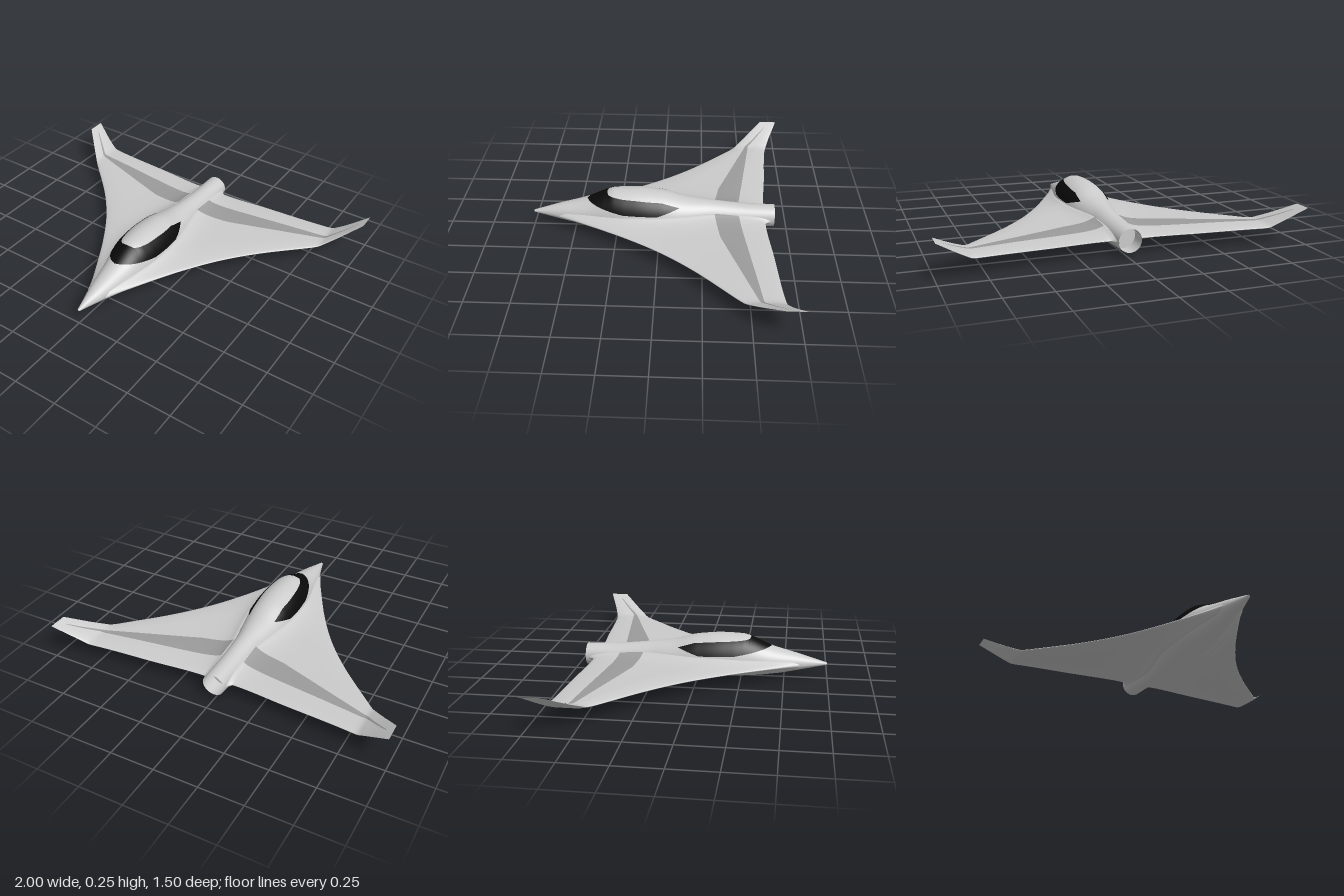
import * as THREE from 'three';

const grey = new THREE.MeshStandardMaterial({ color: 0xcccccc, side: THREE.DoubleSide });
const panelGrey = new THREE.MeshStandardMaterial({ color: 0x9c9c9c, side: THREE.DoubleSide });
const black = new THREE.MeshStandardMaterial({ color: 0x0a0a0a, side: THREE.DoubleSide });

// Interpolation through [t, value] points, t ascending: straight or smooth without overshoot
function curve(points, smooth = true) {
  const n = points.length;
  const slope = (i) => (points[i + 1][1] - points[i][1]) / (points[i + 1][0] - points[i][0]);
  const tangent = (i) => {
    if (i === 0) return slope(0);
    if (i === n - 1) return slope(n - 2);
    const a = slope(i - 1), b = slope(i);
    return a * b <= 0 ? 0 : (2 * a * b) / (a + b);
  };
  return (t) => {
    let i = 0;
    while (i < n - 2 && t > points[i + 1][0]) i++;
    const [t0, a] = points[i], [t1, b] = points[i + 1];
    const d = t1 - t0, s = THREE.MathUtils.clamp((t - t0) / d, 0, 1);
    if (!smooth) return a + (b - a) * s;
    const s2 = s * s, s3 = s2 * s;
    return a * (2 * s3 - 3 * s2 + 1) + b * (3 * s2 - 2 * s3)
      + d * (tangent(i) * (s3 - 2 * s2 + s) + tangent(i + 1) * (s3 - s2));
  };
}

// Surface over a u, v grid; flip turns the faces round
function surface(name, material, fn, nu, nv, flip = false) {
  const pos = [], index = [];
  for (let j = 0; j <= nv; j++) for (let i = 0; i <= nu; i++) pos.push(...fn(i / nu, j / nv));
  for (let j = 0; j < nv; j++) for (let i = 0; i < nu; i++) {
    const a = j * (nu + 1) + i, b = a + 1, c = a + nu + 1, d = c + 1;
    if (flip) index.push(a, c, b, b, c, d);
    else index.push(a, b, c, b, d, c);
  }
  const g = new THREE.BufferGeometry();
  g.setAttribute('position', new THREE.Float32BufferAttribute(pos, 3));
  g.setIndex(index);
  g.computeVertexNormals();
  const mesh = new THREE.Mesh(g, material);
  mesh.name = name;
  return mesh;
}

// Fuselage profiles along z
const TAIL = -0.67, NOSE = 0.745;
const bodyTop = curve([[TAIL, 0.16], [-0.5, 0.166], [-0.3, 0.185], [-0.15, 0.205], [0, 0.242],
  [0.15, 0.255], [0.26, 0.252], [0.32, 0.233], [0.41, 0.193], [0.6, 0.14], [NOSE, 0.097]]);
const bodyBottom = curve([[TAIL, 0.033], [-0.4, 0.02], [-0.2, 0.01], [0.02, 0], [0.1, 0.002],
  [0.3, 0.01], [0.45, 0.025], [0.6, 0.054], [NOSE, 0.083]]);
const bodyWidth = curve([[TAIL, 0.064], [-0.45, 0.07], [-0.3, 0.08], [-0.2, 0.1], [-0.1, 0.12],
  [0, 0.135], [0.1, 0.14], [0.2, 0.136], [0.3, 0.12], [0.45, 0.086], [0.6, 0.05], [0.68, 0.026], [NOSE, 0.008]]);
const bodyMid = curve([[TAIL, 0.096], [-0.3, 0.092], [NOSE, 0.09]]);

function bodyPoint(z, angle, grow = 1) {
  const m = bodyMid(z), s = Math.sin(angle);
  const h = s > 0 ? bodyTop(z) - m : m - bodyBottom(z);
  return [bodyWidth(z) * Math.cos(angle) * grow, m + h * s * grow, z];
}

// Wing outline, dihedral and thickness along x
const ROOT = 0.06;
const leading = curve([[ROOT, 0.59], [0.09, 0.52], [0.13, 0.44], [0.27, 0.18], [0.4, -0.02],
  [0.55, -0.2], [0.8, -0.445], [1, -0.645]]);
const trailing = curve([[ROOT, -0.668], [0.068, -0.64], [0.09, -0.617], [0.4, -0.64],
  [0.79, -0.671], [0.85, -0.687], [1, -0.75]]);
const wingMid = curve([[ROOT, 0.09], [0.78, 0.091], [0.81, 0.093], [0.85, 0.112], [1, 0.206]]);
const wingHalf = curve([[ROOT, 0.022], [0.3, 0.018], [0.8, 0.012], [0.9, 0.006], [1, 0]]);

function wingPoint(x, z, side) {
  const le = leading(x), c = THREE.MathUtils.clamp((le - z) / (le - trailing(x)), 0, 1);
  const section = Math.min(1, 2.2 * Math.sqrt(c * (1 - c)));
  // fillet that swells the wing into the fuselage
  const fillet = 0.028 * Math.exp(-Math.max(0, x - bodyWidth(z)) / 0.05);
  return [x, wingMid(x) + side * section * (wingHalf(x) + fillet), z];
}

// Windscreen band edges and wing panel edges
const glassLow = curve([[-0.115, 0.18], [0.01, 0.145], [0.21, 0.15], [0.315, 0.168], [0.425, 0.19]], false);
const glassHigh = curve([[-0.115, 0.18], [-0.015, 0.21], [0.125, 0.222], [0.22, 0.226],
  [0.3, 0.233], [0.303, 0.3], [0.425, 0.3]], false);
const panelFront = curve([[0.07, -0.32], [0.26, -0.35], [0.82, -0.54], [0.96, -0.67]], false);
const panelBack = curve([[0.07, -0.462], [0.82, -0.56], [0.96, -0.675]], false);

export function createModel() {
  const model = new THREE.Group();
  model.name = 'aircraft';

  model.add(surface('fuselage', grey,
    (u, v) => bodyPoint(TAIL + (NOSE - TAIL) * v, u * Math.PI * 2), 64, 100));

  // Closed end deep inside the tail pipe
  const plug = new THREE.Mesh(new THREE.CircleGeometry(0.066, 40), grey);
  plug.name = 'tailPipeEnd';
  plug.position.set(0, 0.095, -0.57);
  plug.rotation.y = Math.PI;
  model.add(plug);

  for (const s of [1, -1]) {
    const label = s > 0 ? 'left' : 'right';
    const mirror = ([x, y, z]) => [s * x, y, z];

    // Wing skins, with the winglet continuing the same surface
    for (const side of [1, -1]) {
      model.add(surface(label + (side > 0 ? 'WingTop' : 'WingBottom'), grey, (u, v) => {
        const x = ROOT + (1 - ROOT) * Math.pow(u, 1.3);
        const c = (1 - Math.cos(Math.PI * v)) / 2;
        return mirror(wingPoint(x, THREE.MathUtils.lerp(leading(x), trailing(x), c), side));
      }, 90, 40, s * side < 0));
    }

    // Darker panel on the wing, climbing the fuselage side at its inner end
    model.add(surface(label + 'WingPanel', panelGrey, (u, v) => {
      const x = THREE.MathUtils.lerp(0.07, 0.96, u);
      const z = THREE.MathUtils.lerp(panelFront(x), panelBack(x), v);
      const k = x / bodyWidth(z), m = bodyMid(z);
      const onBody = k < 1 ? m + (bodyTop(z) - m) * Math.sqrt(1 - k * k) : 0;
      return mirror([x, Math.max(wingPoint(x, z, 1)[1], onBody) + 0.002, z]);
    }, 120, 14, s < 0));

    // Black windscreen band lying on the fuselage
    model.add(surface(label + 'Window', black, (u, v) => {
      const z = THREE.MathUtils.lerp(-0.115, 0.425, v), m = bodyMid(z);
      const angle = (y) => Math.asin(Math.min(1, (y - m) / (bodyTop(z) - m)));
      return mirror(bodyPoint(z, THREE.MathUtils.lerp(angle(glassLow(z)), angle(glassHigh(z)), u), 1.012));
    }, 16, 108, s < 0));
  }
  return model;
}
